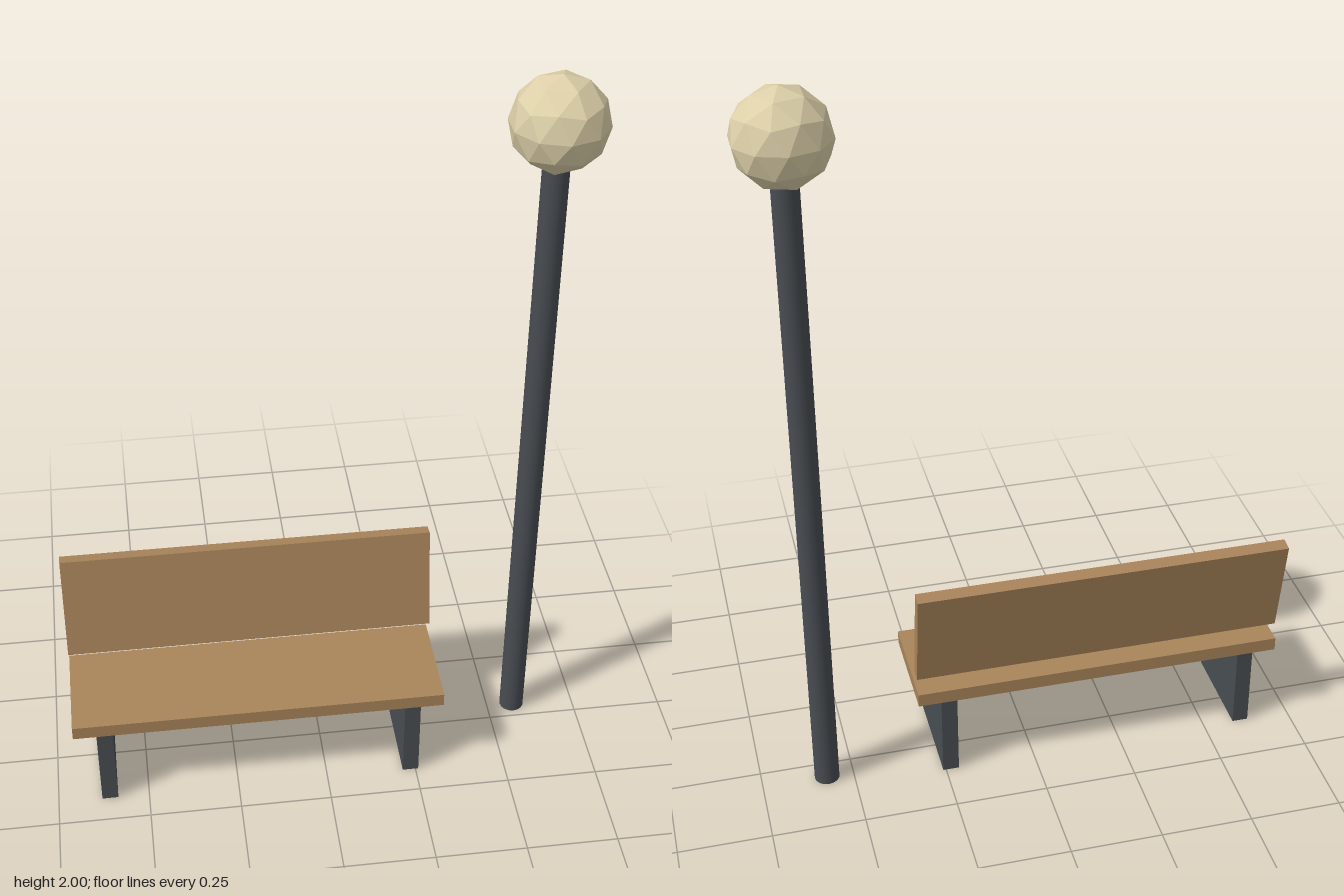
import * as THREE from 'three';

export function createModel() {
  const model = new THREE.Group();
  model.name = 'parkBenchWithLamp';

  const material = (name, color) => {
    const m = new THREE.MeshStandardMaterial({ color });
    m.name = name;
    return m;
  };
  const wood = material('wood', 0xa9845a);
  const metal = material('darkMetal', 0x484d52);
  const glow = material('lampGlass', 0xdccfa8);

  const add = (parent, name, geometry, mat, x, y, z) => {
    const mesh = new THREE.Mesh(geometry, mat);
    mesh.name = name;
    mesh.position.set(x, y, z);
    parent.add(mesh);
    return mesh;
  };

  // Bench: seat plank, leaning backrest and two slab legs
  const bench = new THREE.Group();
  bench.name = 'bench';
  bench.position.x = -0.186;
  model.add(bench);

  const length = 1.014;
  add(bench, 'seat', new THREE.BoxGeometry(length, 0.038, 0.29), wood, 0, 0.262, 0.03);
  const backrest = add(bench, 'backrest', new THREE.BoxGeometry(length, 0.293, 0.036), wood, 0, 0.47, -0.109);
  backrest.rotation.x = -0.18;
  for (const side of [-1, 1]) {
    add(bench, side < 0 ? 'rightLeg' : 'leftLeg',
      new THREE.BoxGeometry(0.044, 0.243, 0.28), metal, side * 0.422, 0.1215, 0.032);
  }

  // Street lamp: round post and faceted globe
  const lamp = new THREE.Group();
  lamp.name = 'streetLamp';
  lamp.position.set(0.573, 0, -0.053);
  model.add(lamp);

  add(lamp, 'lampPost', new THREE.CylinderGeometry(0.034, 0.034, 1.79, 16), metal, 0, 0.895, 0);
  // Turn the globe so that one corner points straight up
  const globe = new THREE.IcosahedronGeometry(0.1225, 1);
  globe.rotateZ(-Math.atan(2 / (1 + Math.sqrt(5))));
  add(lamp, 'lampGlobe', globe, glow, 0, 1.8775, 0);
  glow.flatShading = true;

  return model;
}
